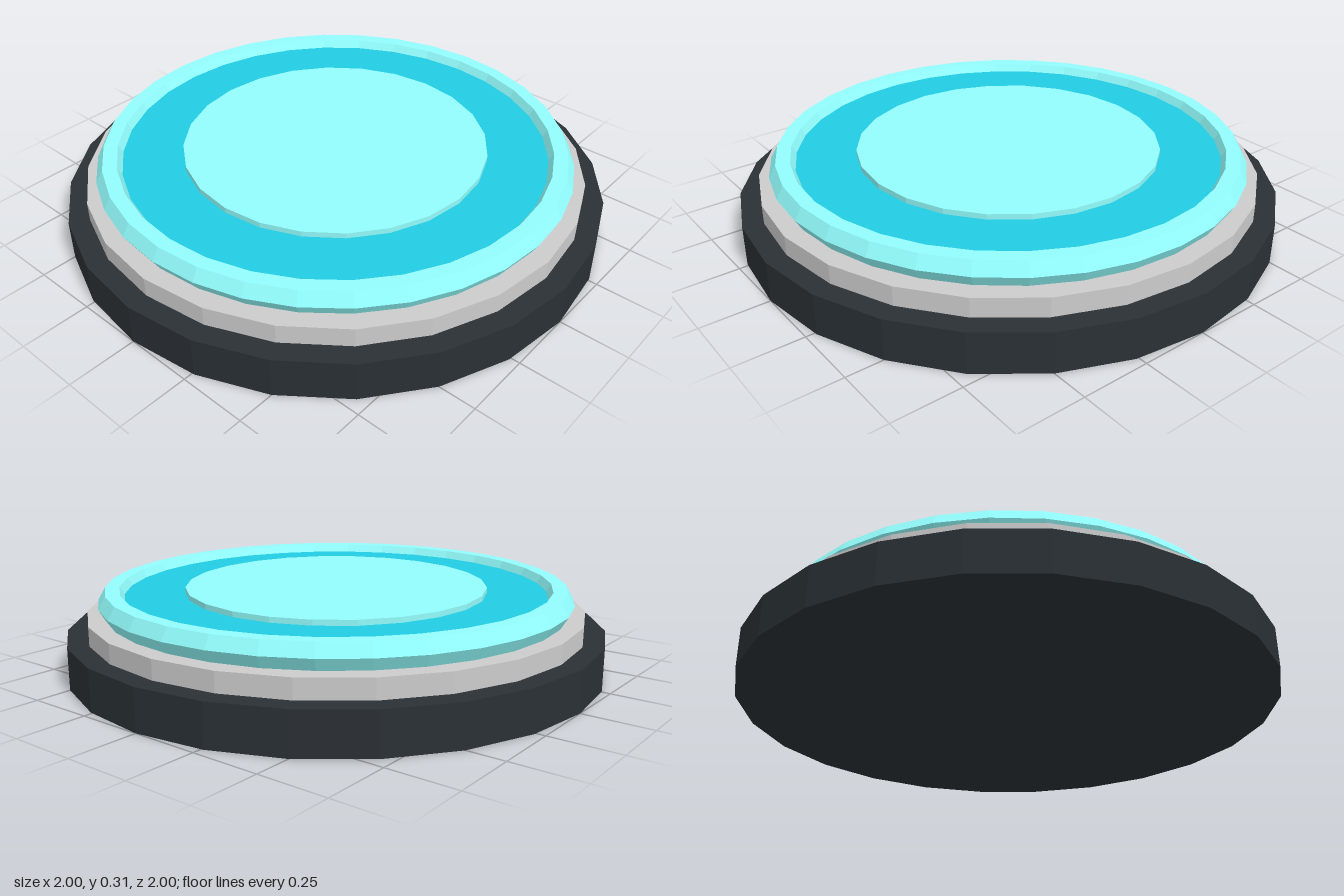
import * as THREE from 'three';

const mat = (color) => new THREE.MeshStandardMaterial({ color, flatShading: true });

export function createModel() {
  const group = new THREE.Group();
  const dark = mat(0x2a3035);
  const grey = mat(0xcccccc);
  const teal = mat(0x22cce4);
  const cyan = mat(0x92fcfc);

  // A 24-sided disc spanning y0 to y1
  const disc = (name, radius, y0, y1, material) => {
    const mesh = new THREE.Mesh(new THREE.CylinderGeometry(radius, radius, y1 - y0, 24), material);
    mesh.name = name;
    mesh.position.y = (y0 + y1) / 2;
    group.add(mesh);
  };

  // Stacked plates
  disc('base', 1, 0, 0.15, dark);
  disc('collar', 0.925, 0.15, 0.22, grey);
  disc('pad', 0.83, 0.22, 0.28, teal);
  disc('centrePlate', 0.565, 0.28, 0.3, cyan);

  // Hexagonal-section rim
  const rim = new THREE.Mesh(new THREE.TorusGeometry(0.83, 0.052, 6, 32), cyan);
  rim.name = 'rim';
  rim.rotation.x = -Math.PI / 2;
  rim.position.y = 0.264;
  group.add(rim);

  return group;
}
